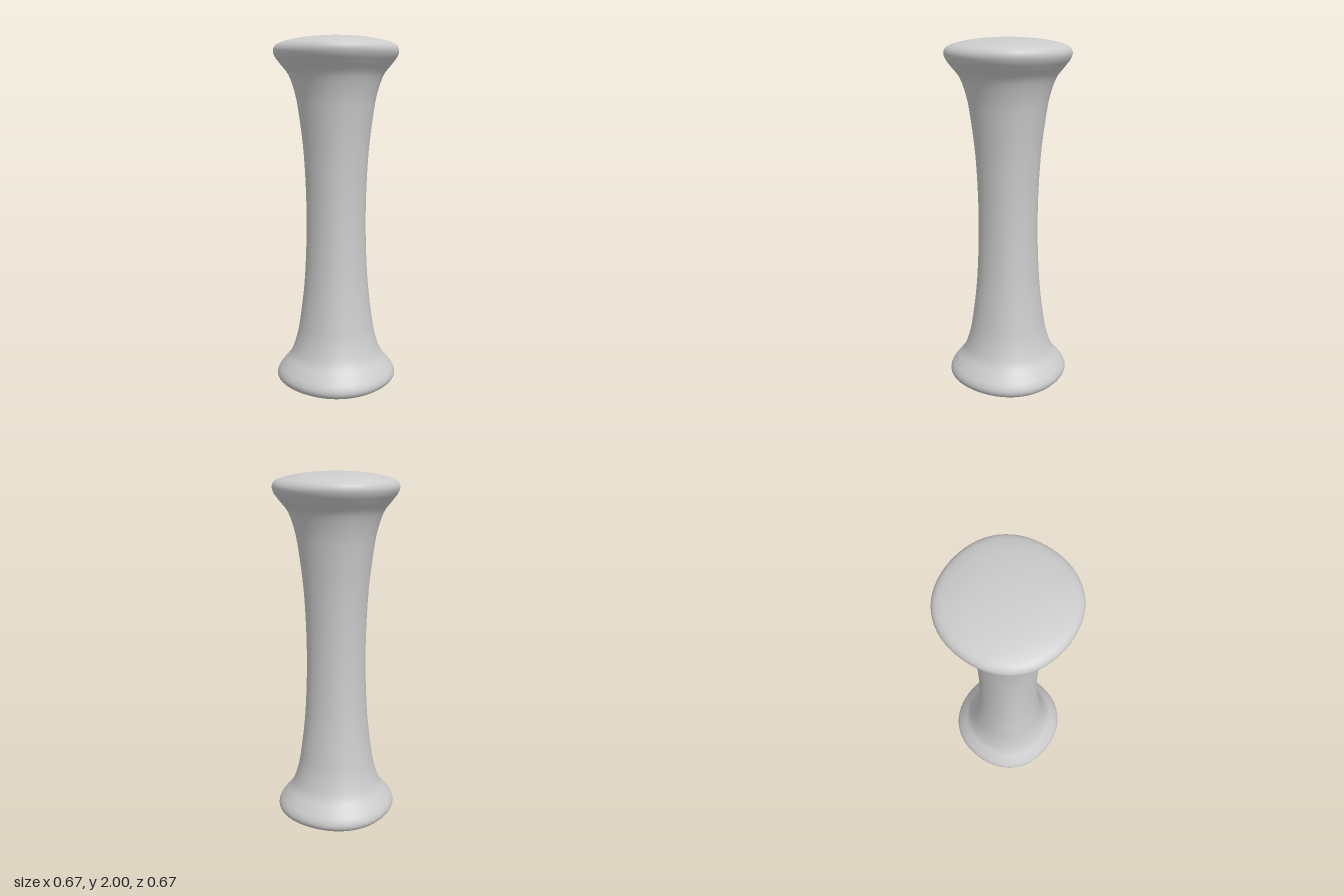
import * as THREE from 'three';
import { mergeVertices } from 'three/addons/utils/BufferGeometryUtils.js';

export function createModel() {
  const group = new THREE.Group();
  group.name = 'flaredColumn';

  // Upper half of the profile [radius, height above the waist], mirrored for the lower half
  const upper = [
    [0.163, 0], [0.167, 0.2], [0.179, 0.4], [0.203, 0.6], [0.222, 0.7], [0.253, 0.79],
    [0.296, 0.848], [0.324, 0.887], [0.333, 0.92], [0.319, 0.948], [0.28, 0.967],
    [0.2, 0.985], [0.1, 0.996], [0, 1],
  ];
  const lower = upper.slice(1).reverse().map(([r, h]) => [r, -h]);
  const curve = new THREE.SplineCurve(
    [...lower, ...upper].map(([r, h]) => new THREE.Vector2(r, 1 + h)));
  const profile = curve.getPoints(156);
  profile.forEach((p) => { p.x = Math.max(p.x, 0); });
  profile[0].x = profile[profile.length - 1].x = 0;

  // Turn the profile, then swell the diagonals to a softly squared cross-section
  let geometry = new THREE.LatheGeometry(profile, 64);
  const pos = geometry.attributes.position;
  for (let i = 0; i < pos.count; i++) {
    const x = pos.getX(i), z = pos.getZ(i);
    const swell = 1 + 0.03 * Math.sin(2 * Math.atan2(z, x)) ** 2;
    pos.setX(i, x * swell);
    pos.setZ(i, z * swell);
  }

  // Weld the seam and poles for continuous smooth normals
  geometry.deleteAttribute('uv');
  geometry.deleteAttribute('normal');
  geometry = mergeVertices(geometry, 1e-5);
  geometry.computeVertexNormals();

  const column = new THREE.Mesh(geometry, new THREE.MeshStandardMaterial({ color: 0xcccccc }));
  column.name = 'column';
  group.add(column);
  return group;
}
